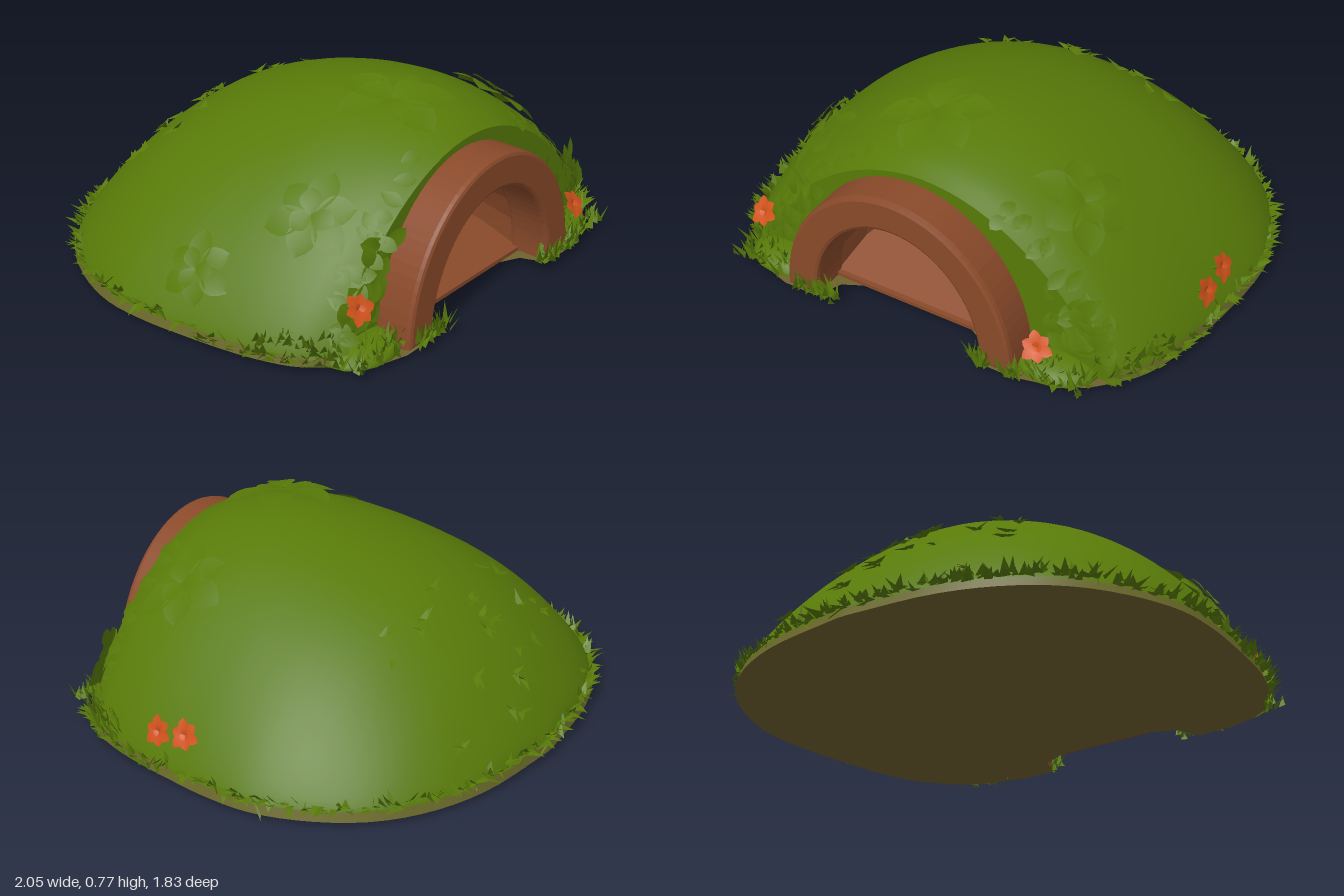
import * as THREE from 'three';
import { mergeGeometries } from 'three/addons/utils/BufferGeometryUtils.js';

const V = (x, y, z) => new THREE.Vector3(x, y, z);
const SKIRT = 0.035, ARCH_X = -0.04, FRONT_Z = 0.7;

// Ridge of the hill: x = half width, y = height, z = depth
const ridge = new THREE.CatmullRomCurve3([
  [0.77, 0.61, 0.7], [0.85, 0.655, 0.6], [0.905, 0.69, 0.45], [0.935, 0.705, 0.3], [0.955, 0.695, 0.15],
  [0.97, 0.67, 0], [0.965, 0.615, -0.2], [0.9, 0.53, -0.4], [0.77, 0.385, -0.6],
  [0.59, 0.24, -0.74], [0.36, 0.12, -0.83], [0.02, 0.045, -0.875],
].map(p => V(...p)));

// Point on the hill, t along the ridge, u from right edge to left edge
function hill(t, u) {
  const p = ridge.getPoint(t);
  return V(p.x * u, SKIRT + (p.y - SKIRT) * Math.max(0, 1 - u * u) ** 0.85, p.z);
}

// Surface point and outward normal above (x, z)
function onHill(x, z) {
  let a = 0, b = 1;
  for (let i = 0; i < 24; i++) {
    const m = (a + b) / 2;
    if (ridge.getPoint(m).z > z) a = m; else b = m;
  }
  const t = Math.min(Math.max(a, 0.01), 0.99);
  const u = THREE.MathUtils.clamp(x / ridge.getPoint(t).x, -0.99, 0.99);
  const du = hill(t, u + 0.01).sub(hill(t, u - 0.01));
  const dt = hill(t + 0.01, u).sub(hill(t - 0.01, u));
  const n = du.cross(dt).normalize();
  if (n.y < 0) n.negate();
  return { p: hill(t, u), n };
}

// Smooth skin over equal rows of points
function loft(rows) {
  const n = rows[0].length, index = [];
  for (let i = 0; i < rows.length - 1; i++)
    for (let j = 0; j < n - 1; j++) {
      const a = i * n + j, b = a + n;
      index.push(a, a + 1, b, b, a + 1, b + 1);
    }
  const g = new THREE.BufferGeometry().setFromPoints(rows.flat());
  g.setIndex(index);
  g.computeVertexNormals();
  return g;
}

// Rounded leaf growing along +y, facing +z, drooping towards its tip
function leaf(length, width, tilt = 0.2) {
  const g = new THREE.PlaneGeometry(1, 1, 2, 7).translate(0, 0.5, 0);
  const pos = g.attributes.position;
  for (let i = 0; i < pos.count; i++) {
    const s = pos.getY(i), x = pos.getX(i);
    const w = width * (0.1 * (1 - s) + Math.sin(Math.PI * s ** 1.25) ** 0.8);
    pos.setXYZ(i, x * w, s * length, Math.abs(x) * w * 0.12 - s * s * length * 0.2);
  }
  g.computeVertexNormals();
  return g.rotateX(tilt);
}

function place(g, p, n, spin = 0) {
  const q = new THREE.Quaternion().setFromUnitVectors(V(0, 0, 1), n.clone().normalize());
  return g.rotateZ(spin).applyQuaternion(q).translate(p.x, p.y, p.z);
}

// Ring of leaves or petals
function rosette(count, length, width, tilt) {
  return mergeGeometries(Array.from({ length: count }, (_, i) =>
    leaf(length * (i % 2 ? 0.88 : 1), width, tilt).rotateZ(i / count * Math.PI * 2)));
}

export function createModel() {
  const model = new THREE.Group();
  const material = (name, color) => {
    const m = new THREE.MeshStandardMaterial({ color, side: THREE.DoubleSide });
    m.name = name;
    return m;
  };
  const green = material('moss green', 0x587a08);
  const wood = material('warm brown', 0x8a4a2a);
  const olive = material('olive earth', 0x6a682a);
  const dirt = material('dark earth', 0x70622f);
  const orange = material('orange', 0xd0521b);
  const add = (name, g, m) => {
    const mesh = new THREE.Mesh(g, m);
    mesh.name = name;
    model.add(mesh);
  };
  let seed = 7;
  const rnd = (a = 0, b = 1) => {
    seed = (seed * 16807) % 2147483647;
    return a + (b - a) * seed / 2147483647;
  };

  // Hill
  const T = 40, U = 44, rows = [];
  for (let i = 0; i <= T; i++)
    rows.push(Array.from({ length: U + 1 }, (_, j) => hill(i / T, Math.sin((j / U - 0.5) * Math.PI))));
  add('hill', loft(rows), green);

  // Front face with the arched opening
  const cap = new THREE.Shape();
  rows[0].forEach((p, i) => i ? cap.lineTo(p.x, p.y) : cap.moveTo(p.x, p.y));
  cap.lineTo(0.77, 0.004).lineTo(ARCH_X + 0.4, 0.004);
  cap.absellipse(ARCH_X, 0.004, 0.4, 0.48, 0, Math.PI, false, 0);
  cap.lineTo(-0.77, 0.004);
  add('hillFront', new THREE.ShapeGeometry(cap, 20).translate(0, 0, FRONT_Z), green);

  // Sloping earth skirt
  const left = rows.map(r => r[U]), right = rows.map(r => r[0]).reverse();
  const outline = [...left, ...right];
  const ground = outline.map(p => V(p.x * 1.012, 0, p.z < 0 ? p.z * 1.012 : p.z));
  add('earthSkirt', loft([outline, ground]), olive);

  // Underside, notched at the doorway
  const feet = [[-0.76, 0.76], [-0.68, 0.81], [-0.55, 0.85], [-0.4, 0.85], [-0.36, 0.75], [-0.26, 0.7],
    [0.18, 0.7], [0.28, 0.75], [0.32, 0.85], [0.46, 0.85], [0.62, 0.81], [0.72, 0.76]];
  const base = new THREE.Shape([...ground.map(p => new THREE.Vector2(p.x, p.z)),
    ...feet.map(p => new THREE.Vector2(...p))]);
  add('underside', new THREE.ShapeGeometry(base).rotateX(Math.PI / 2), dirt);

  // Low mossy mounds beside the doorway
  for (const [name, x] of [['rightMound', -0.62], ['leftMound', 0.56]])
    add(name, new THREE.SphereGeometry(1, 16, 6, 0, Math.PI * 2, 0, Math.PI / 2)
      .scale(0.17, 0.06, 0.13).translate(x, 0.004, 0.7), green);

  // Door arch
  const arch = new THREE.Shape();
  arch.moveTo(0.495, 0).absellipse(0, 0, 0.495, 0.575, 0, Math.PI, false, 0);
  arch.lineTo(-0.36, 0).absellipse(0, 0, 0.36, 0.44, Math.PI, 0, true, 0);
  add('doorArch', new THREE.ExtrudeGeometry(arch, {
    depth: 0.135, bevelThickness: 0.02, bevelSize: 0.015, bevelOffset: -0.015, bevelSegments: 2, curveSegments: 20,
  }).translate(ARCH_X, 0.004, 0.695), wood);

  // Hollow behind the arch: a ceiling that narrows towards the back over a rising floor
  const sections = [0, 0.35, 0.7, 1, 1].map((s, k) => {
    const floor = 0.015 + 0.22 * s, top = 0.45 - 0.13 * s * s, shrink = k === 4 ? 0 : 1;
    const points = Array.from({ length: 13 }, (_, i) => {
      const a = i / 12 * Math.PI;
      return V(ARCH_X + Math.cos(a) * 0.37 * (1 - 0.65 * s * s) * shrink,
        floor + Math.sin(a) * (top - floor) * shrink, FRONT_Z - 0.45 * s);
    });
    return [...points, points[0].clone()];
  });
  const hollow = loft(sections).toNonIndexed();
  hollow.computeVertexNormals();
  add('hollow', hollow, wood);
  add('sill', new THREE.BoxGeometry(0.72, 0.016, 0.02).translate(ARCH_X, 0.012, 0.705), wood);

  // Leaf rosettes: x, z, radius
  for (const [x, z, r] of [[-0.11, 0.42, 0.24], [-0.6, 0.46, 0.18], [-0.85, 0.14, 0.15], [0.5, 0.43, 0.2]]) {
    const { p, n } = onHill(x, z);
    p.addScaledVector(n, 0.016);
    const inner = rosette(3, r * 0.55, r * 0.45, 0.25).rotateZ(0.4).translate(0, 0, 0.012);
    add('leafRosette', place(mergeGeometries([rosette(6, r, r * 0.62, 0.1), inner]), p, n, rnd(0, 6)), green);
  }

  // Leaves along the front face and the rim above it
  const ivy = [];
  for (let i = 0; i < 56; i++) {
    const side = i % 2 ? 1 : -1, x = side * rnd(0.48, 0.72);
    const top = onHill(x, 0.69).p.y;
    ivy.push(place(leaf(rnd(0.08, 0.12), 0.06, 0.3), V(x, rnd(0.08, top), 0.705),
      V(side * 0.3, 0.2, 1), rnd(-1.2, 1.2)));
  }
  for (let i = 0; i < 44; i++) {
    const side = i % 2 ? 1 : -1, { p, n } = onHill(side * rnd(0.3, 0.78), rnd(0.6, 0.69));
    ivy.push(place(leaf(rnd(0.07, 0.1), 0.055, 0.2), p, n, side * rnd(1.6, 3.2)));
  }
  add('frontLeaves', mergeGeometries(ivy), green);

  // Grass blades
  const blades = [];
  const blade = (p, dir, length, width) => {
    const across = V(-dir.z, rnd(-0.2, 0.2), dir.x).normalize().multiplyScalar(width / 2);
    blades.push(p.clone().sub(across), p.clone().add(across), p.clone().addScaledVector(dir.normalize(), length));
  };
  // Fringe around the base, reaching the ground towards the front
  const rim = new THREE.CatmullRomCurve3(outline);
  for (let i = 0; i < 460; i++) {
    const p = rim.getPointAt(rnd(0, 1)), front = p.z > 0.2;
    const out = V(p.x, 0, p.z * 1.1).normalize();
    const dir = V(out.x * 0.7 + rnd(-0.9, 0.9), front ? rnd(0.3, 1.4) : rnd(-0.4, 1.4), out.z * 0.7 + rnd(-0.9, 0.9));
    p.addScaledVector(out, front ? 0.012 : -0.006).setY(front ? rnd(0.004, 0.04) : rnd(0.03, 0.06));
    blade(p, dir, rnd(0.03, 0.07), rnd(0.025, 0.042));
  }
  // Tufts at the arch feet
  for (let i = 0; i < 260; i++) {
    const x = i % 2 ? rnd(0.26, 0.74) : rnd(-0.8, -0.3);
    const p = V(x, rnd(0.004, 0.03), Math.abs(x) < 0.5 ? rnd(0.83, 0.87) : rnd(0.72, 0.84));
    blade(p, V(rnd(-0.8, 0.8), 1, rnd(-0.2, 0.5)), rnd(0.04, 0.1), 0.028);
  }
  // Grass over the lower front corners
  for (let i = 0; i < 130; i++) {
    const side = i % 2 ? 1 : -1, z = rnd(0.45, 0.71);
    const p = V(side * (0.8 + (0.7 - z) * 0.5 - rnd(0, 0.08)), rnd(0.005, 0.08), z);
    blade(p, V(side * rnd(0, 0.7), 1, rnd(0, 0.6)), rnd(0.05, 0.09), 0.034);
  }
  // Sparse clumps lying on the rear slope
  for (let i = 0; i < 24; i++) {
    const { p, n } = onHill(rnd(-0.5, 0.5), rnd(-0.8, -0.35));
    for (let k = 0; k < 3; k++) {
      const dir = V(rnd(-1, 1), rnd(-0.6, 0.6), rnd(-0.9, 0.3)).projectOnPlane(n).normalize();
      blade(p.clone().addScaledVector(n, 0.004), dir.addScaledVector(n, 0.3), rnd(0.04, 0.07), 0.03);
    }
  }
  const grass = new THREE.BufferGeometry().setFromPoints(blades);
  grass.computeVertexNormals();
  add('grass', grass, green);

  // Orange flowers: position, facing
  for (const [p, n] of [
    [V(-0.7, 0.215, 0.75), V(-0.2, 0.7, 1)], [V(0.54, 0.15, 0.81), V(0.2, 0.7, 1)],
    [V(0.92, 0.155, 0.235), V(1, 0.4, 0.1)], [V(0.92, 0.18, 0.11), V(1, 0.5, 0)]]) {
    const g = mergeGeometries([rosette(6, 0.064, 0.042, 0.3), rosette(3, 0.025, 0.025, 0.7)]);
    add('flower', place(g, p, n, rnd(0, 1)), orange);
    const stem = new THREE.CylinderGeometry(0.004, 0.006, 0.06, 5).rotateX(Math.PI / 2).translate(0, 0, -0.03);
    add('flowerStem', place(stem, p, n), green);
  }
  return model;
}
